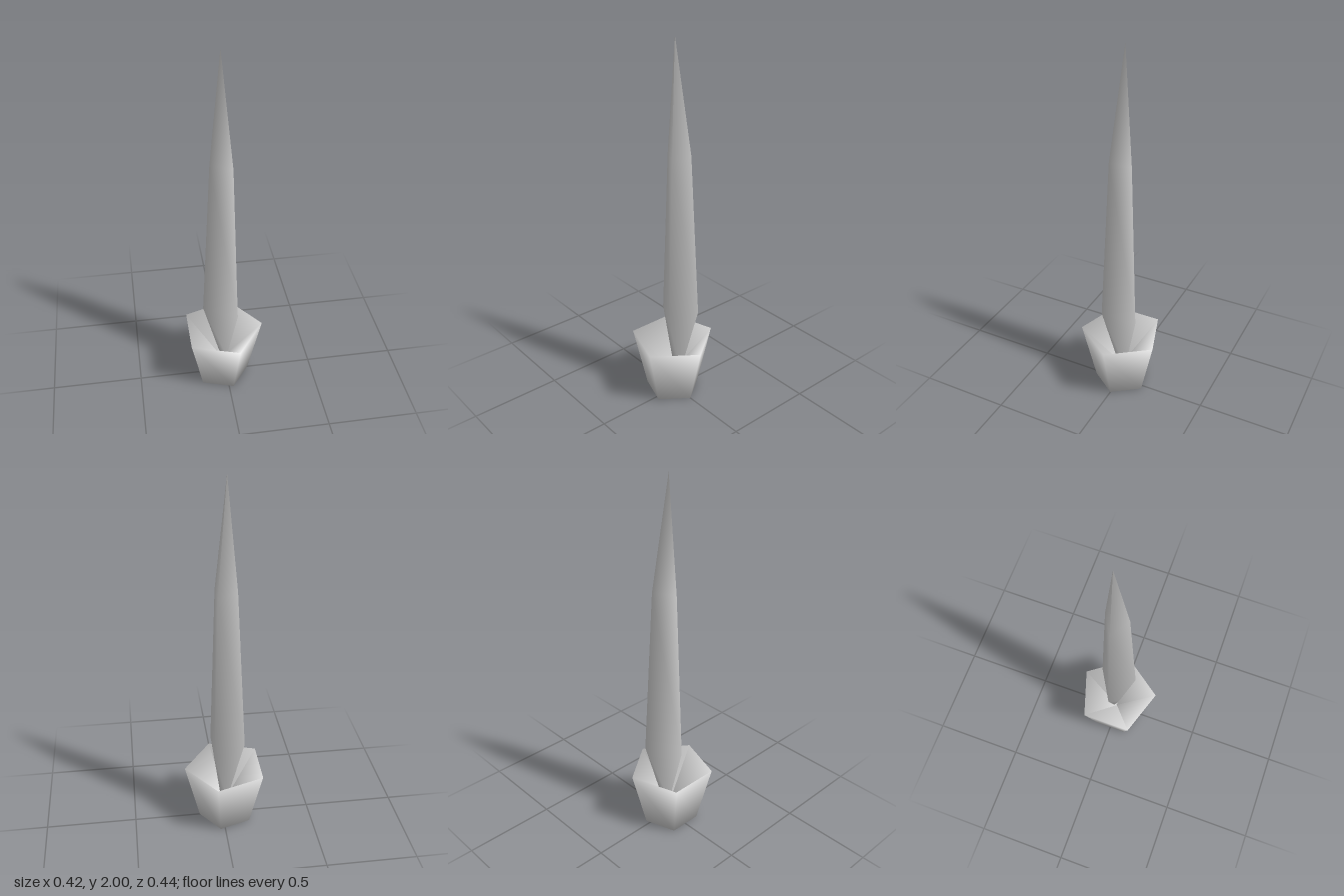
import * as THREE from 'three';

// Smooth-shaded faceted solid of revolution from [radius, height] pairs, listed bottom to top.
function facetedSolid(name, profile, sides, startAngle) {
  const points = profile.map(([r, y]) => new THREE.Vector2(r, y));
  const geometry = new THREE.LatheGeometry(points, sides, startAngle);
  const material = new THREE.MeshStandardMaterial({ color: 0xcccccc, side: THREE.DoubleSide });
  const mesh = new THREE.Mesh(geometry, material);
  mesh.name = name;
  return mesh;
}

export function createModel() {
  const model = new THREE.Group();
  model.name = 'spikeInPot';

  // Five-sided flared pot with a hollow that dips towards the middle
  const pot = facetedSolid('pot', [[0, 0], [0.152, 0], [0.232, 0.335], [0, 0.1]], 5, Math.PI / 2);
  pot.position.x = -0.022;
  model.add(pot);

  // Three-sided spike: narrow foot, widest low down, long taper to the tip
  const spike = facetedSolid('spike', [[0, 0.1], [0.022, 0.11], [0.119, 0.48], [0.073, 1.4], [0, 2]], 3, -Math.PI / 2);
  const pos = spike.geometry.attributes.position;
  for (let i = 0; i < pos.count; i++) {
    // The tip leans slightly to the side
    pos.setX(i, pos.getX(i) - 0.016 * Math.max(0, (pos.getY(i) - 1.4) / 0.6));
  }
  spike.position.set(-0.005, 0, -0.014);
  model.add(spike);

  return model;
}
